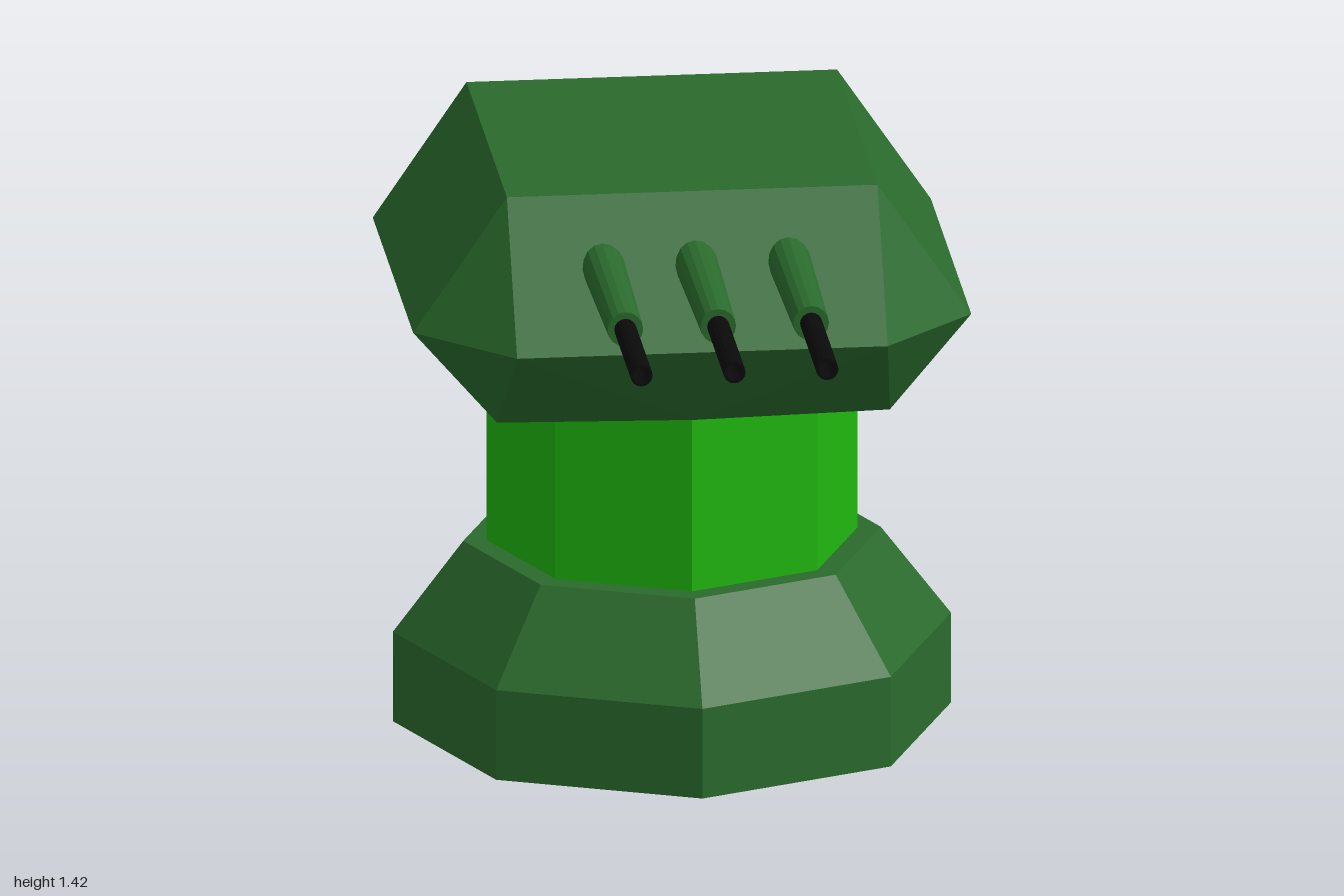
import * as THREE from 'three';
import { ConvexGeometry } from 'three/addons/geometries/ConvexGeometry.js';

const paint = (color) => new THREE.MeshStandardMaterial({ color, flatShading: true });

export function createModel() {
  const model = new THREE.Group();
  const armour = paint(0x2a6b2d);
  const bright = paint(0x1fb80e);
  const black = paint(0x0a0a0a);
  const centreZ = -0.345;

  const add = (parent, name, geometry, material, x = 0, y = 0, z = 0) => {
    const mesh = new THREE.Mesh(geometry, material);
    mesh.name = name;
    mesh.position.set(x, y, z);
    parent.add(mesh);
    return mesh;
  };

  // Octagonal pedestal: plinth, sloped shoulder and column
  const octagon = (name, rTop, rBottom, y0, y1, material) =>
    add(model, name, new THREE.CylinderGeometry(rTop, rBottom, y1 - y0, 8),
      material, 0, (y0 + y1) / 2, centreZ);
  octagon('basePlinth', 0.655, 0.655, 0, 0.22, armour);
  octagon('baseShoulder', 0.49, 0.655, 0.22, 0.437, armour);
  octagon('column', 0.435, 0.435, 0.437, 0.876, bright);

  // Faceted turret head: square roof, chamfered waist, slightly bowed underside
  const points = [];
  const point = (x, y, z) => points.push(new THREE.Vector3(x, y, z));
  for (const sx of [-1, 1]) {
    for (const sz of [-1, 1]) {
      point(sx * 0.435, 1.42, sz * 0.435);
      point(sx * 0.655, 1.095, sz * 0.435);
      point(sx * 0.435, 1.095, sz * 0.655);
      point(sx * 0.461, 0.876, sz * 0.461);
    }
    point(sx * 0.49, 0.876, 0);
    point(0, 0.876, sx * 0.49);
  }
  add(model, 'turretHead', new ConvexGeometry(points), armour, 0, 0, centreZ);

  // Three guns: tapered sleeve and hollow barrel
  const sleeve = new THREE.CylinderGeometry(0.042, 0.052, 0.55, 16).rotateX(Math.PI / 2);
  const barrel = new THREE.LatheGeometry([
    [0.02, 0], [0.026, 0], [0.026, 0.36], [0.02, 0.36], [0.02, 0],
  ].map(([r, y]) => new THREE.Vector2(r, y)), 16).rotateX(Math.PI / 2);
  for (const x of [-0.218, 0, 0.218]) {
    const gun = new THREE.Group();
    gun.name = 'gun';
    gun.position.set(x, 1.27, 0);
    add(gun, 'gunSleeve', sleeve, armour, 0, 0, 0.375);
    add(gun, 'gunBarrel', barrel, black, 0, 0, 0.64);
    model.add(gun);
  }
  return model;
}
